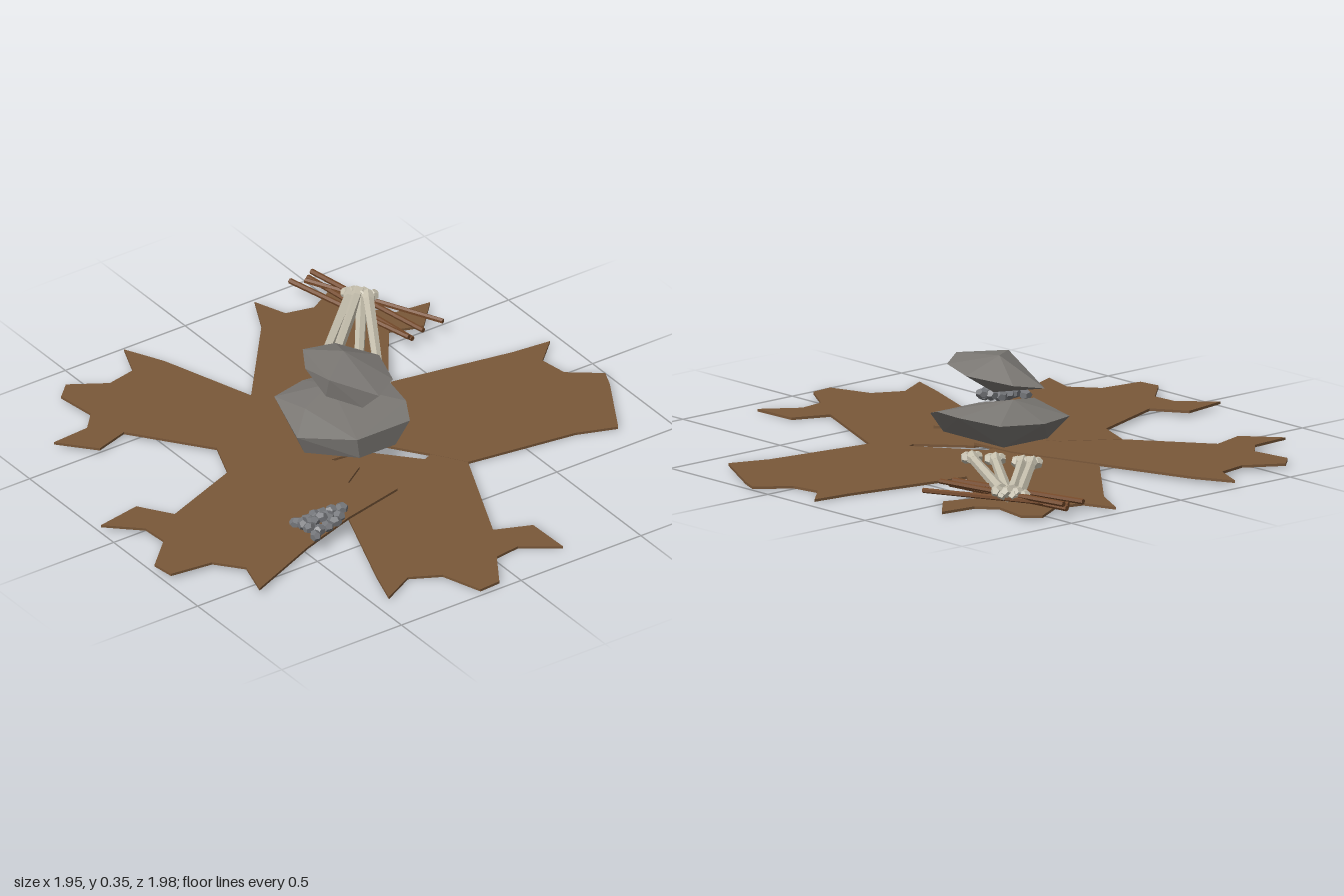
import * as THREE from 'three';
import { ConvexGeometry } from 'three/addons/geometries/ConvexGeometry.js';

const material = (name, color) => {
  const m = new THREE.MeshStandardMaterial({ color, flatShading: true });
  m.name = name;
  return m;
};

// Ragged hide end: [along, inward] from one claw tip (0, 0) to the other (1, 0)
const fringe = [
  [0, 0], [0.175, 0.12], [0.34, 0.055], [0.44, -0.157], [0.56, -0.135],
  [0.66, 0.075], [0.8, 0.11], [1, 0], [0.965, 0.25], [0.766, 0.307]];

// Hide outline: the fringe set between two tips, closed by the inner points [x, z]
function hideGeometry(tip1, tip2, inner, skip, thickness) {
  const a = new THREE.Vector2(...tip1);
  const along = new THREE.Vector2(...tip2).sub(a);
  const inward = new THREE.Vector2(-along.y, along.x);
  if (inward.dot(a) > 0) inward.negate();
  const outline = fringe.filter((_, i) => !skip.includes(i))
    .map(([u, v]) => a.clone().addScaledVector(along, u).addScaledVector(inward, v));
  outline.push(...inner.map((p) => new THREE.Vector2(...p)));
  const shape = new THREE.Shape(outline.map((p) => new THREE.Vector2(p.x, -p.y)));
  return new THREE.ExtrudeGeometry(shape, { depth: thickness, bevelEnabled: false }).rotateX(-Math.PI / 2);
}

export function createModel() {
  const model = new THREE.Group();
  model.name = 'campRemains';
  const hideMat = material('brown hide', 0x7a5839);
  const rockMat = material('grey rock', 0x7a7773);
  const boneMat = material('pale bone', 0xc6c0ae);
  const woodMat = material('dark wood', 0x754a2a);
  const pebbleMat = material('slate pebble', 0x74767a);

  let seed = 7;
  const rand = () => (seed = (seed * 16807) % 2147483647) / 2147483647;

  const add = (parent, name, geometry, mat) => {
    const mesh = new THREE.Mesh(geometry, mat);
    mesh.name = name;
    parent.add(mesh);
    return mesh;
  };
  const group = (name, parent = model) => {
    const g = new THREE.Group();
    g.name = name;
    parent.add(g);
    return g;
  };
  // Lay an object's y axis along a line between two points
  const align = (object, a, b) => {
    object.position.copy(a).lerp(b, 0.5);
    object.quaternion.setFromUnitVectors(new THREE.Vector3(0, 1, 0), b.clone().sub(a).normalize());
  };

  // Overlapping ground hides
  const hide = (name, y, tip1, tip2, inner, skip = []) => {
    add(model, name, hideGeometry(tip1, tip2, inner, skip, 0.009), hideMat).position.y = y;
  };
  hide('northHide', 0.001, [-0.19, -0.955], [0.395, -0.83],
    [[0.285, -0.28], [0.17, -0.205], [-0.06, -0.04], [-0.25, -0.06], [-0.29, -0.35], [-0.205, -0.81]], [5, 6, 9]);
  hide('eastHide', 0, [0.84, 0.44], [0.915, -0.235],
    [[0.285, -0.28], [0.17, -0.205], [0.185, -0.17], [0.03, -0.03], [0, 0.15], [0.355, 0.265], [0.7, 0.395]]);
  hide('northwestHide', 0.005, [-0.97, -0.27], [-0.625, -0.76],
    [[-0.29, -0.35], [-0.06, -0.04], [-0.1, 0.14], [-0.48, 0.09], [-0.83, -0.2]]);
  hide('southwestHide', 0.01, [-0.97, 0.275], [-0.62, 0.815],
    [[-0.27, 0.38], [0, 0.25], [0.03, -0.03], [-0.15, -0.02], [-0.48, 0.09], [-0.83, 0.205]]);
  hide('southHide', 0.011, [0.555, 0.78], [-0.09, 0.99],
    [[-0.12, 0.44], [-0.27, 0.38], [-0.15, 0.2], [0.11, 0.05], [0.17, 0.14], [0.3, 0.025], [0.355, 0.265], [0.43, 0.49]]);

  // Two boulders, one above the other, as hulls of a few corners
  const boulder = (name, corners) =>
    add(model, name, new ConvexGeometry(corners.map((p) => new THREE.Vector3(...p))), rockMat);
  boulder('lowerBoulder', [
    [-0.15, 0.2, -0.01], [0.11, 0.13, -0.16], [0.11, 0.13, 0.06], [-0.02, 0.13, 0.22], [-0.27, 0.14, 0.14],
    [-0.3, 0.14, 0], [-0.26, 0.15, -0.17], [-0.1, 0.16, -0.22], [0.03, 0.155, -0.2], [-0.1, 0.175, 0.13],
    [0.11, 0.055, -0.1], [0.11, 0.055, 0.05], [-0.02, 0.06, 0.19], [-0.2, 0.055, 0.1], [-0.2, 0.055, -0.1]]);
  boulder('upperBoulder', [
    [-0.1, 0.35, -0.03], [0.155, 0.31, 0], [0, 0.33, 0.1], [-0.3, 0.265, 0], [-0.25, 0.28, -0.1],
    [-0.08, 0.295, -0.165], [0.08, 0.3, -0.11], [0.1, 0.245, 0.03], [-0.07, 0.215, -0.03], [-0.02, 0.255, 0.1],
    [-0.2, 0.26, 0.06]]);

  // Sticks: start x, z and end x, z
  const sticks = group('sticks');
  [[-0.96, -0.5, -0.43, -0.595], [-0.96, -0.41, -0.43, -0.535], [-0.94, -0.46, -0.455, -0.695],
    [-0.96, -0.485, -0.43, -0.55]].forEach(([x1, z1, x2, z2], i) => {
    const y = 0.06 - 0.006 * i;
    const a = new THREE.Vector3(x1, y, z1), b = new THREE.Vector3(x2, y, z2);
    align(add(sticks, 'stick', new THREE.CylinderGeometry(0.009, 0.01, a.distanceTo(b), 6), woodMat), a, b);
  });

  // Bones: shaft with a flare and a pair of knuckles at each end
  const bones = group('bones');
  [[-0.765, -0.53, -0.465, -0.205], [-0.745, -0.545, -0.425, -0.215], [-0.73, -0.55, -0.325, -0.25],
    [-0.71, -0.56, -0.245, -0.285]].forEach(([x1, z1, x2, z2], i) => {
    const a = new THREE.Vector3(x1, 0.06 + 0.01 * (i % 2), z1);
    const b = new THREE.Vector3(x2, 0.068 - 0.003 * i, z2);
    const len = a.distanceTo(b);
    const bone = group('bone', bones);
    align(bone, a, b);
    // sideways direction, level with the ground
    const across = new THREE.Vector3(b.z - a.z, 0, a.x - b.x).normalize()
      .applyQuaternion(bone.quaternion.clone().invert());
    add(bone, 'shaft', new THREE.CylinderGeometry(0.017, 0.021, len, 6), boneMat);
    for (const end of [-1, 1]) {
      const [top, bottom] = end > 0 ? [0.026, 0.018] : [0.018, 0.028];
      add(bone, 'flare', new THREE.CylinderGeometry(top, bottom, 0.05, 6), boneMat).position.y = end * (len / 2 - 0.025);
      for (const side of [-1, 1]) {
        const knuckle = add(bone, 'knuckle', new THREE.DodecahedronGeometry(0.022), boneMat);
        knuckle.position.copy(across).multiplyScalar(side * 0.018);
        knuckle.position.y += end * len / 2;
      }
    }
  });

  // Pebble pile: rows that widen toward the front
  const pebbles = group('pebbles');
  [1, 2, 3, 3, 3, 4].forEach((count, row) => {
    for (let i = 0; i < count; i++) {
      const offset = i - (count - 1) / 2;
      const pebble = add(pebbles, 'pebble', new THREE.DodecahedronGeometry(0.024), pebbleMat);
      pebble.position.set(0.365 + 0.003 * row + 0.037 * offset, 0.077 - 0.009 * Math.abs(offset) - 0.01 * rand(),
        0.3 + 0.033 * row + 0.008 * (rand() - 0.5));
      pebble.scale.set(0.85 + 0.35 * rand(), 0.75 + 0.2 * rand(), 0.8 + 0.3 * rand());
      pebble.rotation.y = rand() * Math.PI;
    }
  });
  return model;
}
